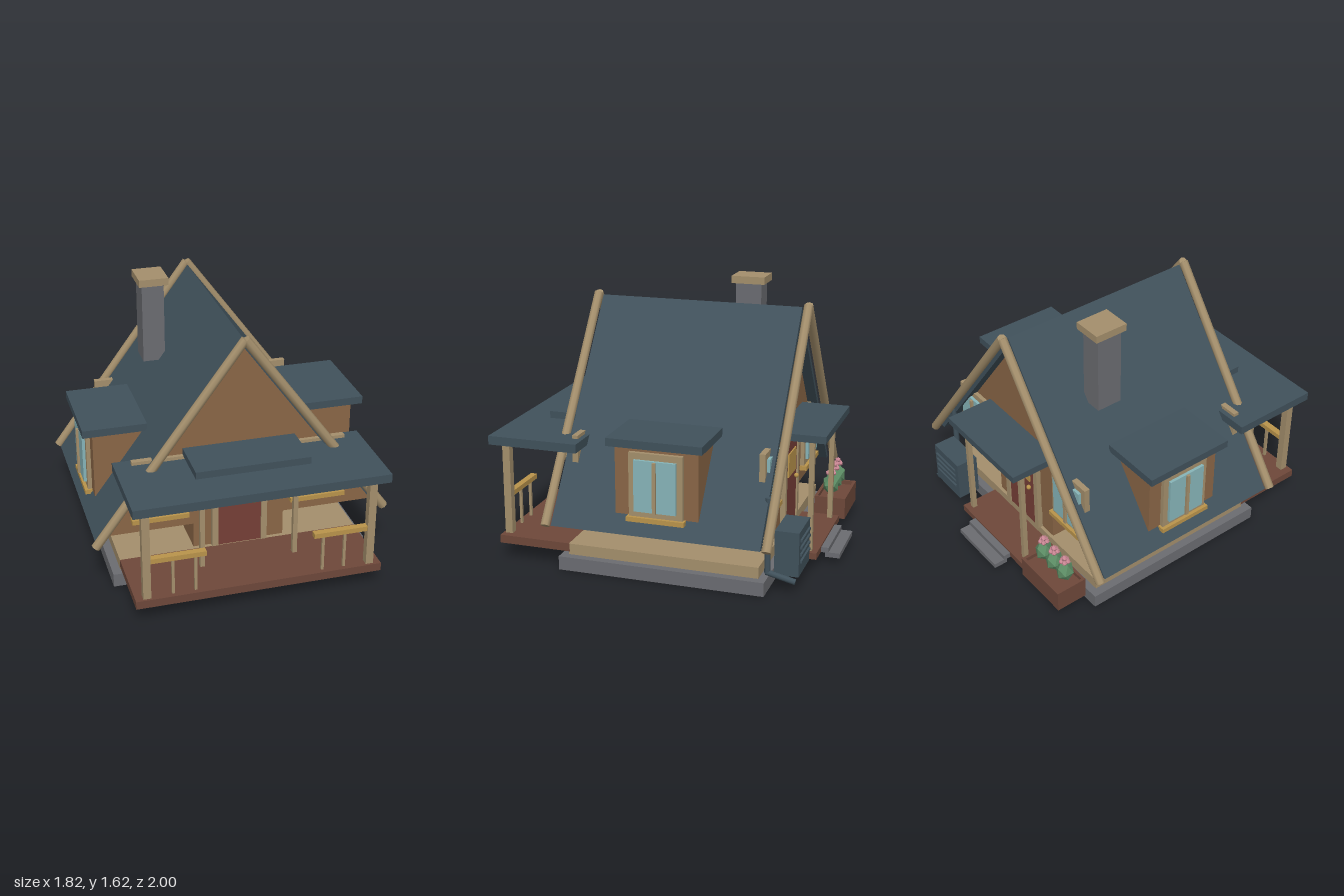
import * as THREE from 'three';

const mat = (name, color) => {
  const m = new THREE.MeshStandardMaterial({ color });
  m.name = name;
  return m;
};

export function createModel() {
  const wall = mat('brown timber', 0x8a6646);
  const tan = mat('tan wood', 0xa48f6c);
  const slate = mat('dark slate', 0x40515b);
  const stone = mat('grey stone', 0x6b6c71);
  const red = mat('red door', 0x763f37);
  const glass = mat('pale glass', 0x87b5b9);
  const brass = mat('ochre', 0xba944b);
  const deckMat = mat('dark decking', 0x6e483a);
  const green = mat('leaf green', 0x5c8c64);
  const pink = mat('petal pink', 0xca8794);

  const model = new THREE.Group();
  model.name = 'cabin';

  const add = (name, geometry, material, parent = model) => {
    const mesh = new THREE.Mesh(geometry, material);
    mesh.name = name;
    parent.add(mesh);
    return mesh;
  };
  // Box given by its limits on each axis
  const box = (name, material, x0, x1, y0, y1, z0, z1, parent = model) => {
    const m = add(name, new THREE.BoxGeometry(x1 - x0, y1 - y0, z1 - z0), material, parent);
    m.position.set((x0 + x1) / 2, (y0 + y1) / 2, (z0 + z1) / 2);
    return m;
  };
  // Round bar between two points
  const bar = (name, material, a, b, r, sides = 8, parent = model) => {
    const from = new THREE.Vector3(...a), to = new THREE.Vector3(...b);
    const dir = to.clone().sub(from);
    const m = add(name, new THREE.CylinderGeometry(r, r, dir.length(), sides), material, parent);
    m.position.copy(from).add(to).multiplyScalar(0.5);
    m.quaternion.setFromUnitVectors(new THREE.Vector3(0, 1, 0), dir.normalize());
    return m;
  };
  // Outline in x and y, extruded from z0 to z1
  const prism = (name, material, points, z0, z1) => {
    const shape = new THREE.Shape(points.map(p => new THREE.Vector2(...p)));
    const g = new THREE.ExtrudeGeometry(shape, { depth: z1 - z0, bevelEnabled: false });
    g.translate(0, 0, z0);
    return add(name, g, material);
  };

  // Base and floor
  box('foundation', stone, -0.785, 0.785, 0, 0.083, -0.69, 0.555);
  box('floorSlab', tan, -0.735, 0.735, 0.083, 0.15, -0.645, 0.51);
  box('frontDeck', deckMat, -0.735, 0.735, 0.1, 0.15, 0.505, 0.955);

  // Lower core and gabled upper body
  box('lowerCore', wall, -0.28, 0.28, 0.15, 0.32, -0.625, 0.485);
  prism('gableBody', wall, [[-0.85, 0.31], [0.85, 0.31], [0, 1.46]], -0.627, 0.485);
  prism('roof', slate,
    [[0.88, 0.31], [0, 1.5], [-0.88, 0.31], [-0.845, 0.308], [0, 1.45], [0.845, 0.308]],
    -0.69, 0.557);
  for (const z of [0.588, -0.728])
    for (const s of [-1, 1])
      bar('rafterLog', tan, [s * 0.888, 0.31, z], [0, 1.51, z], 0.028);

  // Chimney
  box('chimneyShaft', stone, -0.405, -0.27, 1.08, 1.57, -0.37, -0.21);
  box('chimneyCap', tan, -0.425, -0.245, 1.57, 1.615, -0.395, -0.187);

  // Window facing +z, with its back on z = 0 and its middle at y = 0
  const makeWindow = () => {
    const g = new THREE.Group();
    g.name = 'window';
    box('windowFrame', tan, -0.16, 0.16, -0.19, 0.19, -0.01, 0.025, g);
    box('windowPane', glass, -0.125, 0.125, -0.152, 0.152, 0, 0.043, g);
    box('windowMullion', tan, -0.01, 0.01, -0.152, 0.148, 0, 0.058, g);
    box('windowSill', brass, -0.172, 0.172, -0.215, -0.187, -0.01, 0.045, g);
    model.add(g);
    return g;
  };

  // Dormers on both slopes
  for (const s of [-1, 1]) {
    const span = (a, b) => (s > 0 ? [a, b] : [-b, -a]);
    box('dormerBody', wall, ...span(0.45, 0.81), 0.41, 0.83, -0.315, 0.18);
    box('dormerRoof', slate, ...span(0.485, 0.873), 0.825, 0.872, -0.355, 0.212);
    const w = makeWindow();
    w.position.set(s * 0.81, 0.6, -0.07);
    w.rotation.y = s * Math.PI / 2;
  }

  // Each end has a door, two windows, a small canopy and steps; distances run outward from the wall
  const makeEnd = (name) => {
    const g = new THREE.Group();
    g.name = name;
    box('door', red, -0.135, 0.135, 0.15, 0.73, -0.01, 0.02, g);
    box('doorLight', brass, -0.09, 0.09, 0.47, 0.615, 0.015, 0.028, g);
    const knob = add('doorKnob', new THREE.SphereGeometry(0.015, 10, 8), brass, g);
    knob.position.set(0.087, 0.43, 0.033);
    for (const s of [-1, 1]) {
      box('doorJamb', tan, s * 0.152 - 0.018, s * 0.152 + 0.018, 0.15, 0.765, -0.01, 0.03, g);
      box('canopyPost', tan, s * 0.283 - 0.014, s * 0.283 + 0.014, 0.1, 0.785, 0.195, 0.225, g);
      const w = makeWindow();
      w.position.set(s * 0.485, 0.6, 0);
      g.add(w);
    }
    box('doorHead', tan, -0.17, 0.17, 0.73, 0.765, -0.01, 0.03, g);
    box('canopy', slate, -0.34, 0.34, 0.785, 0.828, -0.02, 0.3, g);
    box('stoop', deckMat, -0.328, 0.328, 0.066, 0.105, 0.02, 0.26, g);
    box('upperStep', stone, -0.193, 0.193, 0.062, 0.094, 0.22, 0.305, g);
    box('lowerStep', stone, -0.193, 0.193, 0.035, 0.065, 0.285, 0.373, g);
    model.add(g);
    return g;
  };
  makeEnd('frontEnd').position.z = 0.485;
  const back = makeEnd('backEnd');
  back.position.z = -0.627;
  back.rotation.y = Math.PI;

  // Wide front porch with railings
  box('porchRoof', slate, -0.748, 0.748, 0.717, 0.77, 0.445, 1);
  for (const s of [-1, 1]) {
    box('porchPost', tan, s * 0.667 - 0.023, s * 0.667 + 0.023, 0.15, 0.717, 0.895, 0.941);
    const rail = box('porchRail', brass, -0.175, 0.175, 0.376, 0.406, 0.898, 0.938);
    rail.position.x = s * 0.495;
    for (const x of [0.38, 0.512])
      box('baluster', tan, s * x - 0.008, s * x + 0.008, 0.15, 0.38, 0.91, 0.926);
  }

  // Outdoor unit with slats
  box('outdoorUnit', slate, 0.408, 0.675, 0.095, 0.36, -0.862, -0.72);
  for (let i = 0; i < 4; i++)
    box('unitSlat', slate, 0.435, 0.65, 0.172 + i * 0.042, 0.186 + i * 0.042, -0.874, -0.86);

  // Downpipe with a kicked-out foot
  bar('downpipe', slate, [0.697, 0.11, -0.687], [0.697, 0.56, -0.687], 0.018);
  bar('downpipeFoot', slate, [0.697, 0.115, -0.68], [0.697, 0.075, -0.85], 0.018);

  // Planter with three flowering shrubs
  box('planterSoil', deckMat, -0.72, -0.375, 0.07, 0.18, -0.905, -0.73);
  for (const z of [-0.915, -0.735]) box('planterSide', deckMat, -0.73, -0.365, 0.07, 0.205, z, z + 0.018);
  for (const x of [-0.73, -0.383]) box('planterEnd', deckMat, x, x + 0.018, 0.07, 0.205, -0.915, -0.717);
  for (const x of [-0.65, -0.547, -0.443]) {
    const leaf = add('shrub', new THREE.IcosahedronGeometry(0.056, 0), green);
    leaf.position.set(x, 0.268, -0.805);
    leaf.scale.y = 1.2;
    for (let i = 0; i < 5; i++) {
      const a = i * Math.PI * 2 / 5;
      const petal = add('petal', new THREE.IcosahedronGeometry(0.016, 0), pink);
      petal.position.set(x + Math.cos(a) * 0.02, 0.345, -0.805 + Math.sin(a) * 0.02);
    }
    add('flowerHeart', new THREE.IcosahedronGeometry(0.019, 0), pink).position.set(x, 0.365, -0.805);
  }

  return model;
}
